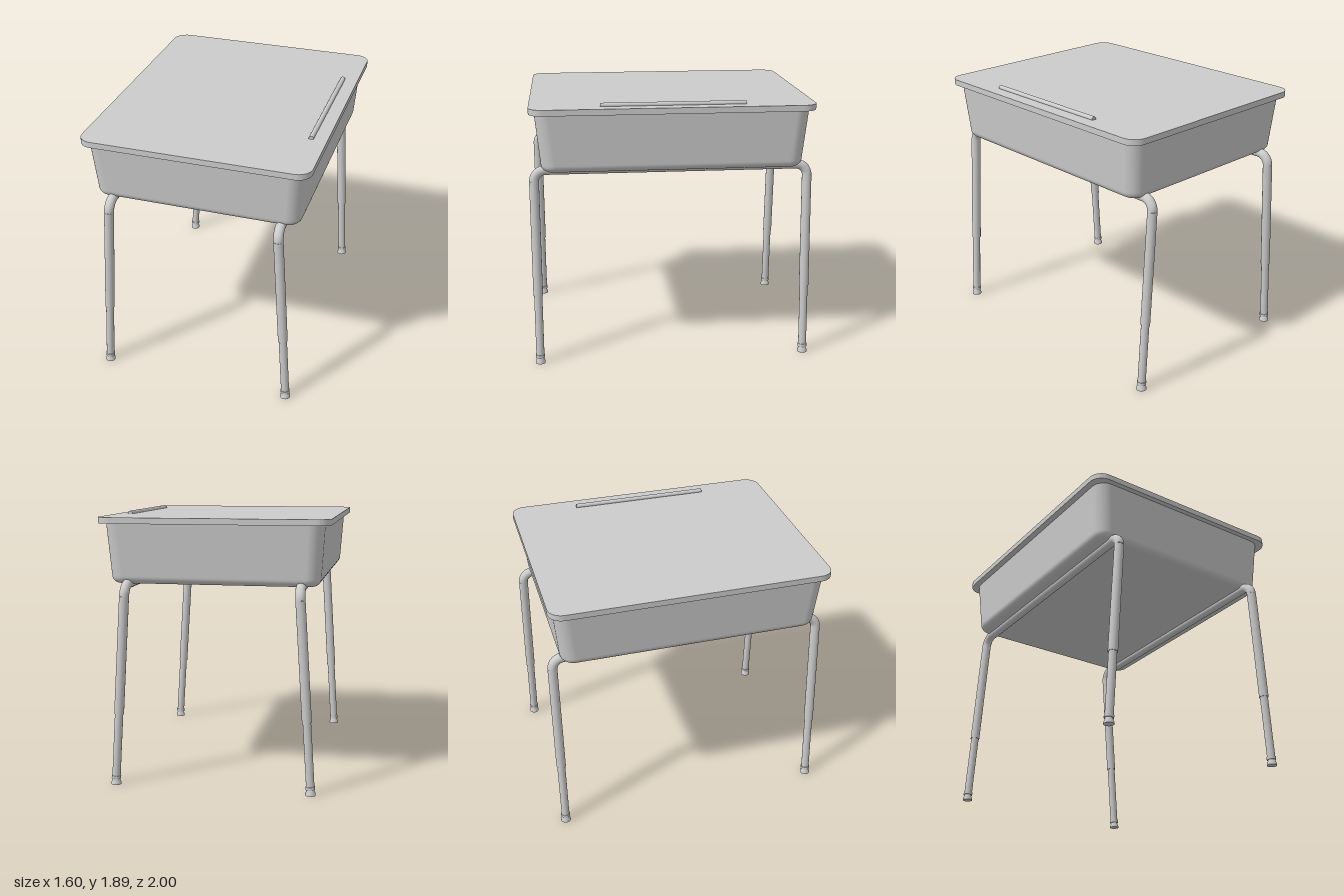
import * as THREE from 'three';

const grey = new THREE.MeshStandardMaterial({ color: 0xcccccc });
const tubeR = 0.034, legZ = 0.965, barY = 1.415, barX = 0.6, tilt = 0.0634;

function add(parent, name, geometry, x = 0, y = 0, z = 0) {
  const mesh = new THREE.Mesh(geometry, grey);
  mesh.name = name;
  mesh.position.set(x, y, z);
  parent.add(mesh);
  return mesh;
}

// Corner points of a rounded rectangle in the xz plane
function roundedLoop(hx, hz, r, steps = 10) {
  const points = [];
  for (let c = 0; c < 4; c++) {
    const sx = c === 0 || c === 3 ? 1 : -1, sz = c < 2 ? 1 : -1;
    for (let i = 0; i <= steps; i++) {
      const a = (c + i / steps) * Math.PI / 2;
      points.push([sx * (hx - r) + r * Math.cos(a), sz * (hz - r) + r * Math.sin(a)]);
    }
  }
  return points;
}

// Flat slab with rounded corners
function topGeometry() {
  const shape = new THREE.Shape(roundedLoop(0.798, 0.985, 0.1).map(p => new THREE.Vector2(...p)));
  return new THREE.ExtrudeGeometry(shape, { depth: 0.042, bevelEnabled: false }).rotateX(-Math.PI / 2);
}

// Tapered storage bin: stacked rounded rectangles with a filleted bottom edge
function binGeometry() {
  const levels = [[1.83, 0.753, 0.948, 0.1], [1.47, 0.728, 0.914, 0.1]];
  const f = 0.055;
  for (let i = 1; i <= 8; i++) {
    const a = i / 8 * Math.PI / 2, inset = f * (1 - Math.cos(a));
    levels.push([1.47 - f * Math.sin(a), 0.728 - inset, 0.914 - inset, 0.1 - inset]);
  }
  const positions = [], index = [];
  for (const [y, hx, hz, r] of levels) {
    for (const [x, z] of roundedLoop(hx, hz, r)) positions.push(x, y, z);
  }
  const n = roundedLoop(1, 1, 0.1).length;
  for (let l = 0; l < levels.length - 1; l++) {
    for (let i = 0; i < n; i++) {
      const a = l * n + i, b = l * n + (i + 1) % n;
      index.push(a, b, a + n, b, b + n, a + n);
    }
  }
  const centre = positions.length / 3, last = (levels.length - 1) * n;
  positions.push(0, barY, 0);
  for (let i = 0; i < n; i++) index.push(centre, last + i, last + (i + 1) % n);
  const geometry = new THREE.BufferGeometry();
  geometry.setAttribute('position', new THREE.Float32BufferAttribute(positions, 3));
  geometry.setIndex(index);
  geometry.computeVertexNormals();
  return geometry;
}

// Bar under the bin with a rounded bend down at each end
function barGeometry() {
  const r = 0.08, points = [];
  for (const s of [-1, 1]) {
    const bend = [];
    for (let i = 0; i <= 10; i++) {
      const a = i / 10 * Math.PI / 2;
      bend.push(new THREE.Vector3(0, -r + r * Math.sin(a), s * (legZ - r + r * Math.cos(a))));
    }
    points.push(...(s < 0 ? bend : bend.reverse()));
  }
  const path = new THREE.CurvePath();
  for (let i = 1; i < points.length; i++) path.add(new THREE.LineCurve3(points[i - 1], points[i]));
  return new THREE.TubeGeometry(path, 200, tubeR, 20);
}

export function createModel() {
  const desk = new THREE.Group();
  desk.name = 'schoolDesk';

  add(desk, 'deskTop', topGeometry(), 0, 1.83, 0);
  add(desk, 'storageBin', binGeometry()).material = new THREE.MeshStandardMaterial({ color: 0xcccccc, side: THREE.DoubleSide });
  add(desk, 'pencilStop', new THREE.CylinderGeometry(0.017, 0.017, 1, 20).rotateX(Math.PI / 2), 0.688, 1.878, 0);

  // Foot glide profile
  const glide = new THREE.LatheGeometry(
    [[0, 0], [0.036, 0], [0.036, 0], [0.035, 0.014], [0.026, 0.034], [0.026, 0.045], [0, 0.045]]
      .map(p => new THREE.Vector2(...p)), 24);

  for (const side of [-1, 1]) {
    // Each frame leans outward about its bar
    const frame = new THREE.Group();
    frame.name = side > 0 ? 'leftFrame' : 'rightFrame';
    frame.position.set(side * barX, barY, 0);
    frame.rotation.z = side * tilt;
    desk.add(frame);
    add(frame, 'crossBar', barGeometry());
    for (const z of [-legZ, legZ]) {
      add(frame, 'upperLeg', new THREE.CylinderGeometry(tubeR, tubeR, 0.828, 20), 0, -0.493, z);
      add(frame, 'lowerLeg', new THREE.CylinderGeometry(0.029, 0.029, 0.49, 20), 0, -1.132, z);
      add(frame, 'footCollar', new THREE.CylinderGeometry(0.033, 0.033, 0.022, 20), 0, -1.366, z);
      add(desk, 'footGlide', glide, side * 0.688, 0, z);
    }
  }
  return desk;
}
